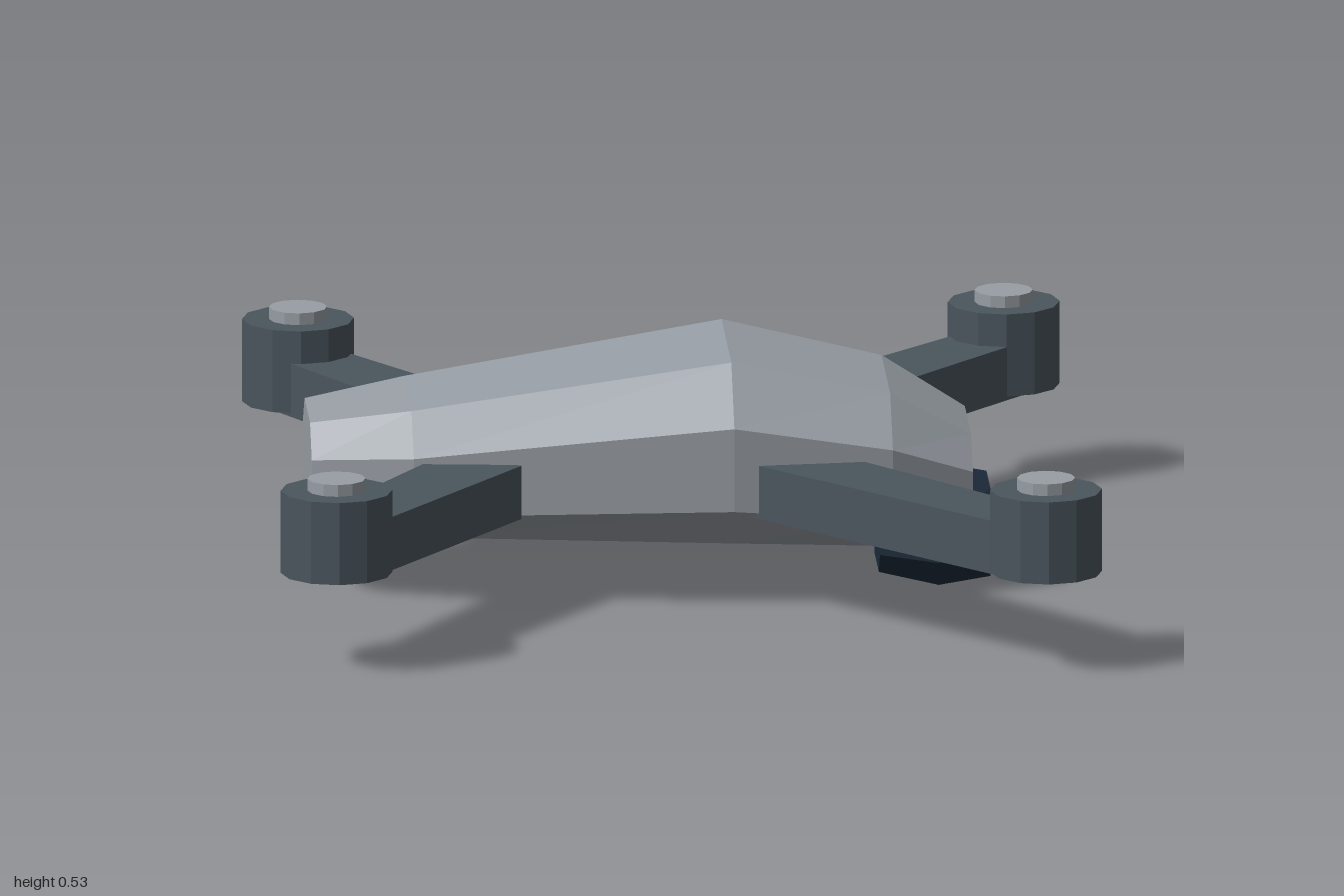
import * as THREE from 'three';

function material(name, color) {
  const m = new THREE.MeshStandardMaterial({ color, flatShading: true });
  m.name = name;
  return m;
}

// Closed shell through rings along x. Each ring: [x, halfWidth, bottomY, topY].
// The outline is [z, y] fractions of one half (-z side), bottom to top.
function loft(rings, half) {
  const outline = [...half, ...half.map(([z, y]) => [-z, y]).reverse()];
  const n = outline.length;
  const points = rings.map(([x, w, y0, y1]) =>
    outline.map(([z, y]) => [x, y0 + (y1 - y0) * y, z * w]));
  const pos = [];
  const tri = (a, b, c) => pos.push(...a, ...b, ...c);
  for (let i = 0; i < rings.length - 1; i++) {
    for (let j = 0; j < n; j++) {
      const k = (j + 1) % n;
      const [p, q] = [points[i], points[i + 1]];
      tri(p[j], p[k], q[j]);
      tri(p[k], q[k], q[j]);
    }
  }
  const rear = points[0], front = points[points.length - 1];
  for (let j = 1; j < n - 1; j++) {
    tri(front[0], front[j], front[j + 1]);
    tri(rear[0], rear[j + 1], rear[j]);
  }
  const g = new THREE.BufferGeometry();
  g.setAttribute('position', new THREE.Float32BufferAttribute(pos, 3));
  g.computeVertexNormals();
  return g;
}

// Bar along z that narrows towards its outer (+z) end
function taperedBar(length, innerWidth, outerWidth, height) {
  const g = new THREE.BoxGeometry(1, height, length);
  const p = g.attributes.position;
  for (let i = 0; i < p.count; i++) {
    p.setX(i, p.getX(i) * (p.getZ(i) > 0 ? outerWidth : innerWidth));
  }
  g.computeVertexNormals();
  return g;
}

export function createModel() {
  const shell = material('shell grey', 0x989ea5);
  const slate = material('slate', 0x4a555d);
  const housing = material('camera navy', 0x1c2a3a);
  const glass = material('lens teal', 0x2b899c);

  const model = new THREE.Group();
  model.name = 'quadcopter';
  const add = (parent, name, geometry, mat, x = 0, y = 0, z = 0) => {
    const mesh = new THREE.Mesh(geometry, mat);
    mesh.name = name;
    mesh.position.set(x, y, z);
    parent.add(mesh);
    return mesh;
  };

  // Faceted fuselage, nose towards +x
  add(model, 'fuselage', loft([
    [-0.8, 0.185, 0.15, 0.385],
    [-0.58, 0.265, 0.13, 0.42],
    [0.12, 0.328, 0.115, 0.53],
    [0.47, 0.29, 0.1, 0.45],
    [0.65, 0.21, 0.115, 0.345],
  ], [[-0.53, 0], [-1, 0.26], [-1, 0.71], [-0.62, 1]]), shell);

  // Camera pod under the nose, with its lens
  const camera = new THREE.Group();
  camera.name = 'camera';
  model.add(camera);
  add(camera, 'cameraHousing', loft([
    [0.45, 0.13, 0.025, 0.2],
    [0.58, 0.168, 0.0, 0.225],
    [0.695, 0.125, 0.012, 0.21],
  ], [[-0.65, 0], [-1, 0.28], [-1, 0.7], [-0.65, 1]]), housing);
  const lens = new THREE.CylinderGeometry(0.069, 0.069, 0.06, 16).rotateZ(-Math.PI / 2);
  add(camera, 'lens', lens, glass, 0.7, 0.107, 0);

  // Four arms, each with a motor and a cap: [name, root x, root z, motor x, motor z]
  const layout = [
    ['front', 0.23, 0.235, 0.775, 0.876],
    ['rear', -0.43, 0.24, -0.778, 0.8],
  ];
  const motorGeometry = new THREE.CylinderGeometry(0.123, 0.123, 0.185, 12);
  const capGeometry = new THREE.CylinderGeometry(0.064, 0.064, 0.03, 12);
  for (const [name, x0, rootZ, x1, motorZ] of layout) {
    for (const side of [1, -1]) {
      const z0 = rootZ * side, z1 = motorZ * side;
      const unit = new THREE.Group();
      unit.name = name + (side > 0 ? 'RightRotor' : 'LeftRotor');
      model.add(unit);
      const bar = taperedBar(Math.hypot(x1 - x0, z1 - z0), 0.2, 0.155, 0.12);
      const arm = add(unit, 'arm', bar, slate, (x0 + x1) / 2, 0.265, (z0 + z1) / 2);
      arm.rotation.y = Math.atan2(x1 - x0, z1 - z0);
      add(unit, 'motor', motorGeometry, slate, x1, 0.306, z1);
      add(unit, 'motorCap', capGeometry, shell, x1, 0.41, z1);
    }
  }

  return model;
}
